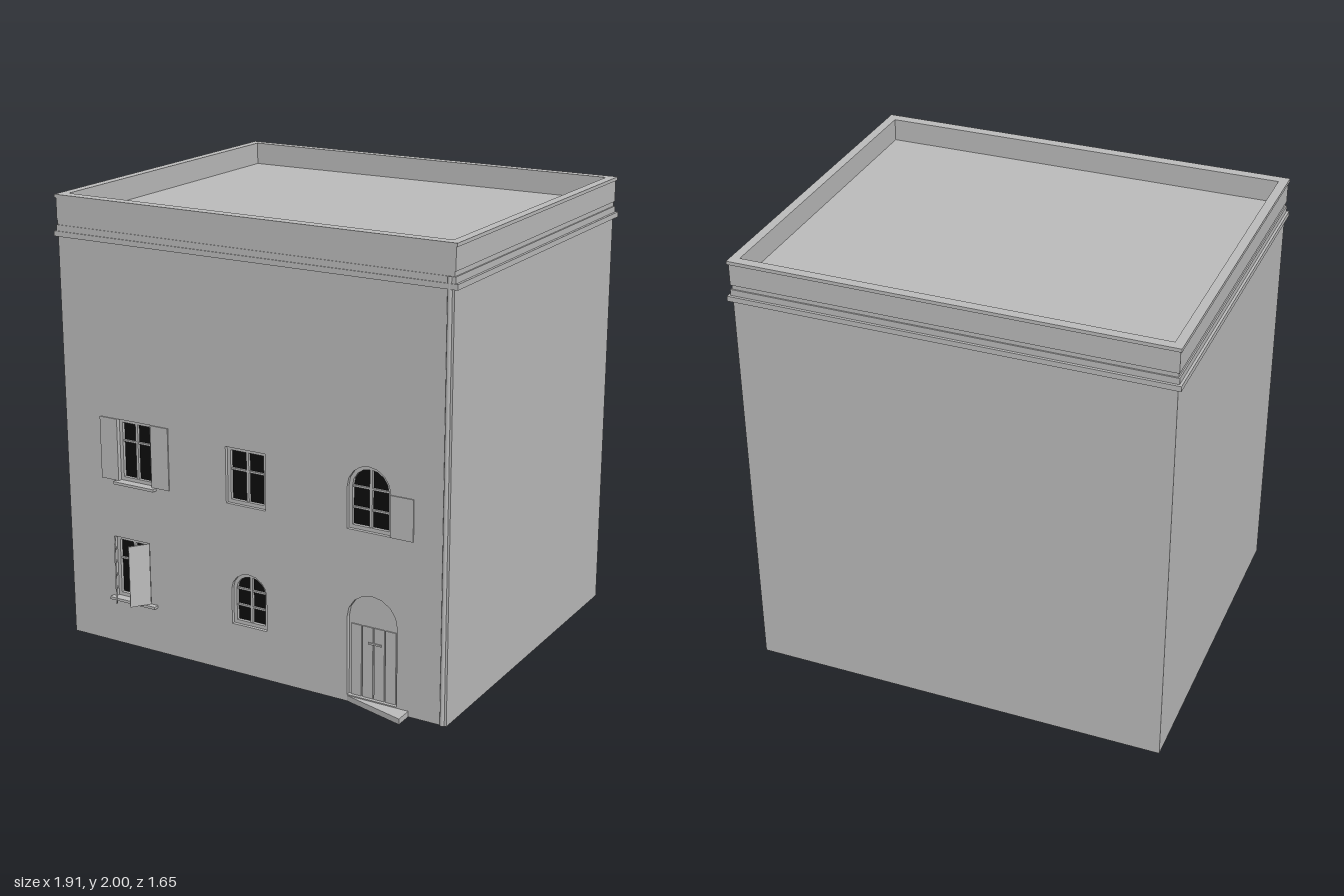
import * as THREE from 'three';

const stone = new THREE.MeshStandardMaterial({ color: 0xbcbcbc });
stone.name = 'grey plaster';
const dark = new THREE.MeshStandardMaterial({ color: 0x0c0c0c });
dark.name = 'dark glass';

const FRONT = 0.745, BACK = -0.81, HALF = 0.94, RECESS = 0.03;

function add(parent, name, geometry, material = stone) {
  const mesh = new THREE.Mesh(geometry, material);
  mesh.name = name;
  parent.add(mesh);
  return mesh;
}

// Box given by its lower and upper corners
function box(parent, name, x0, x1, y0, y1, z0, z1, material) {
  const mesh = add(parent, name, new THREE.BoxGeometry(x1 - x0, y1 - y0, z1 - z0), material);
  mesh.position.set((x0 + x1) / 2, (y0 + y1) / 2, (z0 + z1) / 2);
  return mesh;
}

// Outline of an opening; with a spring height the head is a faceted arch
function outline(o, inset = 0, Type = THREE.Shape) {
  const x0 = o.x0 + inset, x1 = o.x1 - inset, y0 = o.y0 + inset, y1 = o.y1 - inset;
  const pts = [[x0, y0], [x1, y0]];
  if (o.spring) {
    const c = (x0 + x1) / 2, r = (x1 - x0) / 2, n = 8;
    for (let i = 0; i <= n; i++) {
      const a = Math.PI * i / n;
      pts.push([c + r * Math.cos(a), o.spring + (y1 - o.spring) * Math.sin(a)]);
    }
  } else pts.push([x1, y1], [x0, y1]);
  return new Type(pts.map(p => new THREE.Vector2(...p)));
}

function extrude(parent, name, shape, z, depth, material) {
  const mesh = add(parent, name, new THREE.ExtrudeGeometry(shape, { depth, bevelEnabled: false }), material);
  mesh.position.z = z;
  return mesh;
}

// Rectangular ring lying flat around the building
function ring(parent, name, hx, zBack, zFront, ix, iBack, iFront, y0, y1) {
  const rect = (Type, x, b, f) => new Type([[-x, -f], [x, -f], [x, -b], [-x, -b]].map(p => new THREE.Vector2(...p)));
  const shape = rect(THREE.Shape, hx, zBack, zFront);
  shape.holes.push(rect(THREE.Path, ix, iBack, iFront));
  const mesh = extrude(parent, name, shape, 0, y1 - y0);
  mesh.rotation.x = -Math.PI / 2;
  mesh.position.y = y0;
}

const openings = [
  { name: 'upperLeftWindow', x0: -0.665, x1: -0.49, y0: 0.77, y1: 1.05, bars: [0.95], sill: [-0.68, -0.47] },
  { name: 'upperMiddleWindow', x0: -0.11, x1: 0.085, y0: 0.77, y1: 1.02, bars: [0.92] },
  { name: 'upperRightWindow', x0: 0.475, x1: 0.675, y0: 0.77, y1: 1.05, spring: 0.95, bars: [0.86, 0.95] },
  { name: 'lowerLeftWindow', x0: -0.70, x1: -0.515, y0: 0.222, y1: 0.505, bars: [0.4], sill: [-0.72, -0.48] },
  { name: 'lowerMiddleWindow', x0: -0.09, x1: 0.085, y0: 0.225, y1: 0.465, spring: 0.385, bars: [0.31, 0.385] },
  { name: 'door', x0: 0.475, x1: 0.71, y0: 0.03, y1: 0.495, spring: 0.38, door: true },
];

function buildWindow(o) {
  const g = new THREE.Group();
  g.name = o.name;
  const z = FRONT - RECESS;
  extrude(g, 'pane', outline(o), z - 0.008, 0.008, dark);
  const frame = outline(o);
  frame.holes.push(outline(o, 0.016, THREE.Path));
  extrude(g, 'frame', frame, z, 0.015);
  const c = (o.x0 + o.x1) / 2;
  box(g, 'mullion', c - 0.006, c + 0.006, o.y0 + 0.01, o.y1 - 0.01, z, z + 0.012);
  for (const y of o.bars) box(g, 'glazingBar', o.x0 + 0.01, o.x1 - 0.01, y - 0.004, y + 0.004, z, z + 0.01);
  if (o.sill) box(g, 'sill', o.sill[0], o.sill[1], o.y0 - 0.012, o.y0, FRONT - 0.01, FRONT + 0.025);
  return g;
}

function buildDoor(o) {
  const g = new THREE.Group();
  g.name = o.name;
  const z = FRONT - 0.02;
  extrude(g, 'doorLeaf', outline(o), z - 0.01, 0.01);
  // Raised planks and handle
  for (let i = 0; i < 4; i++) {
    const x = o.x0 + 0.012 + i * 0.054;
    box(g, 'plank', x, x + 0.048, o.y0, 0.35, z, z + 0.005);
  }
  box(g, 'handle', 0.57, 0.63, 0.275, 0.283, z, z + 0.01);
  // Skewed doorstep, widening towards the right
  const step = new THREE.Shape([[0.475, -FRONT], [0.765, -0.825], [0.765, -FRONT]].map(p => new THREE.Vector2(...p)));
  const mesh = extrude(g, 'doorstep', step, 0, 0.025);
  mesh.rotation.x = -Math.PI / 2;
  return g;
}

// Shutter hinged at x, reaching out at an angle from the wall
function shutter(parent, x, z, width, y0, y1, angle) {
  const hinge = new THREE.Group();
  hinge.name = 'shutter';
  hinge.position.set(x, 0, z);
  hinge.rotation.y = angle;
  box(hinge, 'shutterLeaf', 0, width, y0, y1, -0.003, 0.003);
  parent.add(hinge);
}

export function createModel() {
  const model = new THREE.Group();
  model.name = 'townHouse';

  // Main block and pierced front wall
  box(model, 'mainBlock', -HALF, HALF, 0, 1.89, BACK, 0.70);
  const wall = outline({ x0: -HALF, x1: HALF, y0: 0, y1: 1.89 });
  for (const o of openings) wall.holes.push(outline(o, 0, THREE.Path));
  extrude(model, 'frontWall', wall, 0.70, FRONT - 0.70);

  for (const o of openings) model.add(o.door ? buildDoor(o) : buildWindow(o));

  // Shutters: folded flat upstairs, half open downstairs
  shutter(model, -0.755, FRONT + 0.002, 0.09, 0.77, 1.05, 0);
  shutter(model, -0.49, FRONT + 0.002, 0.09, 0.77, 1.05, 0);
  shutter(model, 0.675, FRONT + 0.002, 0.105, 0.77, 0.95, 0);
  const lean = Math.atan2(0.077, 0.055), length = Math.hypot(0.077, 0.055);
  shutter(model, -0.70, FRONT, length, 0.222, 0.505, -lean);
  shutter(model, -0.517, FRONT, length, 0.222, 0.505, lean - Math.PI);

  // Cornice bands, parapet with lip, and sunken roof
  ring(model, 'cornice', 0.957, -0.828, FRONT + 0.007, 0.92, -0.79, 0.70, 1.82, 1.843);
  ring(model, 'corniceStep', 0.946, -0.816, FRONT + 0.003, 0.92, -0.79, 0.70, 1.843, 1.87);
  ring(model, 'parapet', 0.944, -0.816, FRONT, 0.91, -0.78, 0.70, 1.89, 1.99);
  ring(model, 'parapetLip', 0.95, -0.822, FRONT + 0.003, 0.91, -0.78, 0.70, 1.985, 2);
  box(model, 'roof', -0.92, 0.92, 1.88, 1.90, -0.79, 0.71);

  // Drainpipe at the front corner
  const pipe = add(model, 'drainpipe', new THREE.CylinderGeometry(0.011, 0.011, 1.87, 10));
  pipe.position.set(0.92, 0.935, FRONT - 0.003);

  return model;
}
